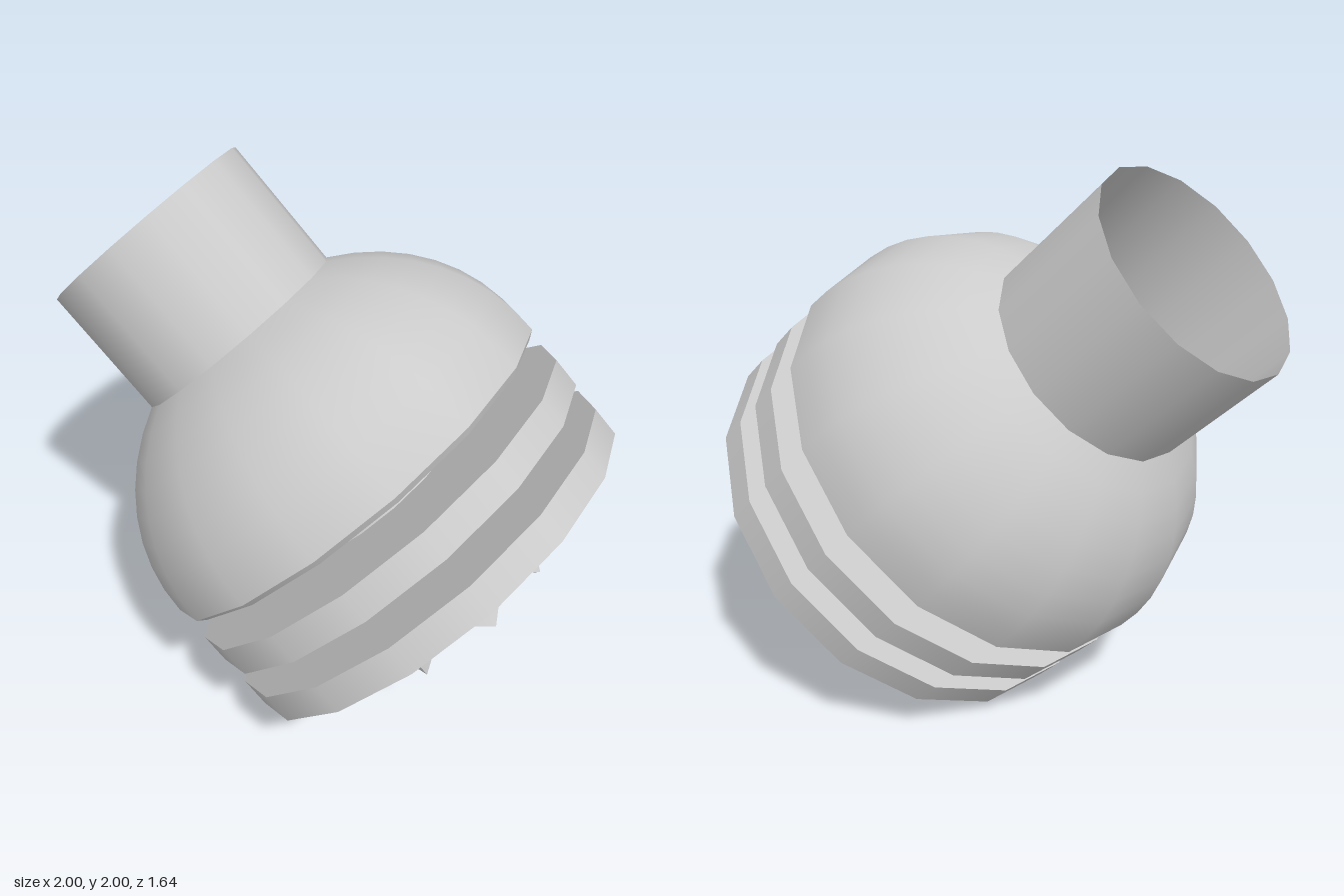
import * as THREE from 'three';
import { toCreasedNormals } from 'three/addons/utils/BufferGeometryUtils.js';

const SIDES = 16;

export function createModel() {
  const model = new THREE.Group();
  const body = new THREE.Group();
  body.name = 'tiltedBody';
  // The body is built upright around local y, then leaned 45 degrees.
  body.rotation.z = Math.PI / 4;
  body.position.set(0.5, 0.5, 0);
  model.add(body);

  const material = new THREE.MeshStandardMaterial({ color: 0xcccccc, side: THREE.DoubleSide });

  function add(name, geometry, y = 0) {
    const mesh = new THREE.Mesh(geometry, material);
    mesh.name = name;
    mesh.position.y = y;
    body.add(mesh);
    return mesh;
  }

  function drum(name, rTop, rBottom, y0, y1, open = false) {
    return add(name, new THREE.CylinderGeometry(rTop, rBottom, y1 - y0, SIDES, 1, open), (y0 + y1) / 2);
  }

  // Open neck
  drum('neck', 0.41, 0.41, 1.213, 1.711, true);

  // Flattened dome, open at the top where the neck joins
  const profile = [];
  const topAngle = Math.acos(0.41 / 0.82);
  for (let i = 0; i <= 8; i++) {
    const a = (topAngle * i) / 8;
    profile.push(new THREE.Vector2(0.82 * Math.cos(a), 0.59 + 0.72 * Math.sin(a)));
  }
  add('dome', new THREE.LatheGeometry(profile, SIDES));

  // Bevelled rim and flat underside of the dome
  drum('domeRim', 0.82, 0.79, 0.566, 0.59, true);
  const underside = add('domeUnderside', new THREE.CircleGeometry(0.79, SIDES), 0.566);
  underside.rotation.x = Math.PI / 2;

  // Two discs on a central shaft
  for (const [name, y] of [['upperDisc', 0.339], ['lowerDisc', 0.113]]) {
    drum(name, 0.82, 0.82, y, y + 0.113);
  }
  drum('shaft', 0.38, 0.38, 0.113, 0.566, true);

  add('toothedTip', toothedTip());
  return model;
}

// Stub with an irregular ring of teeth; each entry is angle, radius, isTip
function toothedTip() {
  const ring = [
    [-153, 0.35, 1], [-135, 0.37, 0], [-112, 0.37, 0], [-86, 0.38, 1],
    [-67, 0.37, 0], [-45, 0.37, 0], [-24, 0.37, 0], [-2, 0.4, 1],
    [22, 0.37, 0], [45, 0.36, 1], [67, 0.37, 0], [90, 0.355, 1],
    [112, 0.37, 0], [135, 0.36, 1], [157, 0.37, 0], [180, 0.37, 0],
  ];
  const point = ([angle, r], y) => {
    const a = THREE.MathUtils.degToRad(angle);
    return [r * Math.sin(a), y, r * Math.cos(a)];
  };
  const end = (p) => point(p, p[2] ? -0.113 : 0.01);
  const center = [0, 0.01, 0];
  const positions = [];
  ring.forEach((p, i) => {
    const q = ring[(i + 1) % ring.length];
    const [b0, b1, t0, t1] = [end(p), end(q), point(p, 0.113), point(q, 0.113)];
    // Wall, then the facet running in to the centre
    positions.push(...b0, ...b1, ...t1, ...b0, ...t1, ...t0);
    positions.push(...center, ...b1, ...b0);
  });
  const geometry = new THREE.BufferGeometry();
  geometry.setAttribute('position', new THREE.Float32BufferAttribute(positions, 3));
  return toCreasedNormals(geometry, 0.6);
}
